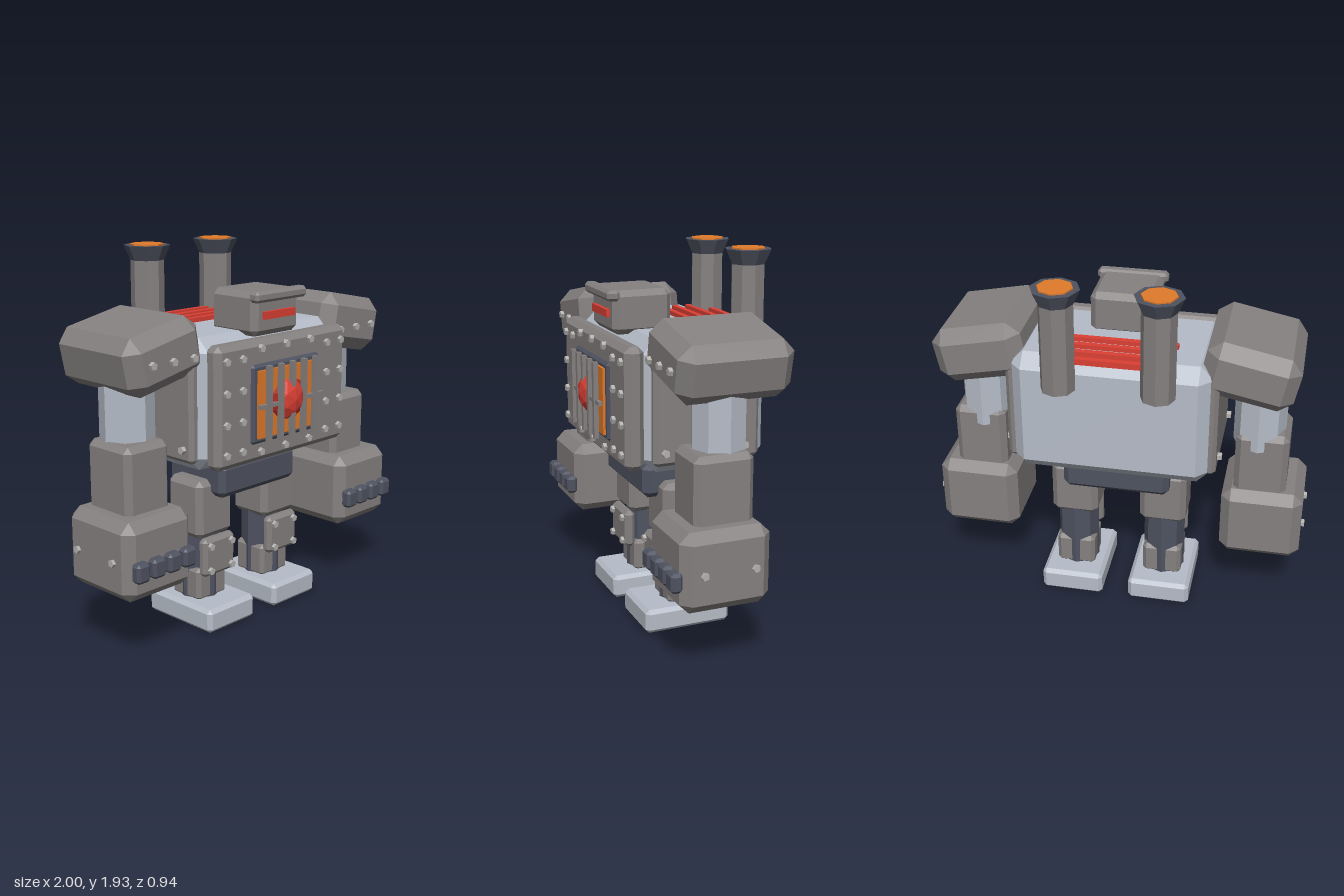
import * as THREE from 'three';
import { ConvexGeometry } from 'three/addons/geometries/ConvexGeometry.js';

const mat = (color) => new THREE.MeshStandardMaterial({ color, flatShading: true });
const STEEL = mat(0x858180), LIGHT = mat(0xb6bdc8), DARK = mat(0x4f5361), BOLT = mat(0xb4b3b0);
const ORANGE = mat(0xe07a2a), RED = mat(0xdc4034), DEEP_RED = mat(0xa82a20);

// Box with every edge and corner cut at 45 degrees
function chamferBox(w, h, d, c) {
  const points = [], x = w / 2, y = h / 2, z = d / 2;
  for (const i of [-1, 1]) for (const j of [-1, 1]) for (const k of [-1, 1]) {
    points.push(
      new THREE.Vector3(i * x, j * (y - c), k * (z - c)),
      new THREE.Vector3(i * (x - c), j * y, k * (z - c)),
      new THREE.Vector3(i * (x - c), j * (y - c), k * z));
  }
  return new ConvexGeometry(points);
}

export function createModel() {
  const model = new THREE.Group();
  model.name = 'robot';

  function add(name, geometry, material, x, y, z) {
    const mesh = new THREE.Mesh(geometry, material);
    mesh.name = name;
    mesh.position.set(x, y, z);
    model.add(mesh);
    return mesh;
  }
  const block = (name, m, [w, h, d], c, x, y, z) => add(name, chamferBox(w, h, d, c), m, x, y, z);
  const bar = (name, m, [w, h, d], x, y, z) => add(name, new THREE.BoxGeometry(w, h, d), m, x, y, z);
  const tube = (name, m, top, bottom, h, x, y, z) =>
    add(name, new THREE.CylinderGeometry(top, bottom, h, 8), m, x, y, z);

  // Bolts face forward, or sideways when side is given
  const boltGeometry = new THREE.CylinderGeometry(0.02, 0.02, 0.035, 5);
  function bolt(x, y, z, side = 0) {
    const b = add('bolt', boltGeometry, BOLT, x, y, z);
    if (side) b.rotation.z = -side * Math.PI / 2;
    else b.rotation.set(Math.PI / 2, Math.PI, 0);
  }

  // Torso with riveted front plate
  block('torso', LIGHT, [1.02, 0.66, 0.64], 0.07, 0, 1.21, -0.02);
  block('frontPlate', STEEL, [0.95, 0.615, 0.1], 0.03, 0, 1.208, 0.345);
  for (const y of [0.98, 1.13, 1.285, 1.44])
    for (const x of [-0.42, -0.31, 0.31, 0.42]) bolt(x, y, 0.395);
  for (const y of [0.957, 1.475])
    for (const x of [-0.18, 0, 0.18]) bolt(x, y, 0.395);

  // Furnace: frame, glow, core and grille
  block('furnaceFrame', DARK, [0.5, 0.4, 0.06], 0.015, 0, 1.2, 0.38);
  bar('furnaceGlow', ORANGE, [0.44, 0.34, 0.03], 0, 1.2, 0.408);
  add('coreHalo', new THREE.SphereGeometry(1, 16, 8), DEEP_RED, 0, 1.2, 0.405).scale.set(0.15, 0.112, 0.045);
  add('core', new THREE.IcosahedronGeometry(1, 1), RED, 0, 1.2, 0.405).scale.set(0.108, 0.113, 0.068);
  for (let i = -2; i <= 2; i++)
    bar('grilleBar', STEEL, [0.025, 0.39, 0.025], i * 0.085, 1.2, 0.445);
  bar('grilleCrossbar', STEEL, [0.47, 0.02, 0.02], 0, 1.195, 0.44);

  // Head with brim and eye slit
  block('head', STEEL, [0.335, 0.22, 0.31], 0.03, 0, 1.625, 0.185);
  block('brim', STEEL, [0.37, 0.055, 0.065], 0.015, 0, 1.715, 0.343);
  bar('eyeSlit', RED, [0.22, 0.038, 0.03], 0, 1.62, 0.345);

  // Heat vents on the back of the torso top
  for (let i = 0; i < 4; i++)
    bar('heatVent', RED, [0.62, 0.03, 0.03], 0, 1.548, -0.107 - i * 0.077);

  block('pelvis', DARK, [0.565, 0.18, 0.4], 0.03, 0, 0.775, 0.03);

  for (const s of [-1, 1]) {
    // Side plate
    block('sidePlate', STEEL, [0.06, 0.56, 0.56], 0.02, s * 0.505, 1.21, -0.005);
    for (const y of [1.0, 1.42])
      for (const z of [-0.2, 0.22]) bolt(s * 0.54, y, z, s);

    // Chimney
    tube('chimney', STEEL, 0.087, 0.087, 0.47, s * 0.247, 1.625, -0.347);
    tube('chimneyFlare', DARK, 0.122, 0.085, 0.08, s * 0.247, 1.885, -0.347);
    tube('chimneyGlow', ORANGE, 0.088, 0.088, 0.02, s * 0.247, 1.922, -0.347);

    // Shoulder, tilted down towards the outside
    block('shoulder', STEEL, [0.47, 0.29, 0.585], 0.065, s * 0.677, 1.483, 0.005).rotation.z = -s * 0.2;
    for (const x of [0.54, 0.67, 0.8]) bolt(s * x, 1.465, 0.3);

    // Arm and fist
    tube('upperArm', LIGHT, 0.135, 0.135, 0.46, s * 0.727, 1.21, 0.03);
    block('forearm', STEEL, [0.275, 0.4, 0.305], 0.03, s * 0.75, 0.87, 0.062);
    block('fist', STEEL, [0.428, 0.397, 0.46], 0.05, s * 0.77, 0.542, 0.087);
    for (let i = 0; i < 4; i++)
      block('knuckle', DARK, [0.082, 0.098, 0.06], 0.015, s * (0.622 + i * 0.099), 0.508, 0.333);
    for (const z of [-0.05, 0.21]) bolt(s * 0.983, 0.54, z, s);

    // Leg and foot
    const x = s * 0.242;
    block('thigh', STEEL, [0.25, 0.31, 0.245], 0.03, x, 0.62, 0.03);
    tube('shin', DARK, 0.112, 0.112, 0.4, x, 0.31, 0.02);
    block('kneePlate', STEEL, [0.225, 0.205, 0.06], 0.02, x, 0.368, 0.15);
    for (const dx of [-0.075, 0.075])
      for (const y of [0.3, 0.432]) bolt(x + dx, y, 0.18);
    block('ankle', STEEL, [0.21, 0.18, 0.205], 0.02, x, 0.205, 0.02);
    block('foot', LIGHT, [0.337, 0.126, 0.465], 0.02, x, 0.063, 0.037);
  }
  return model;
}
